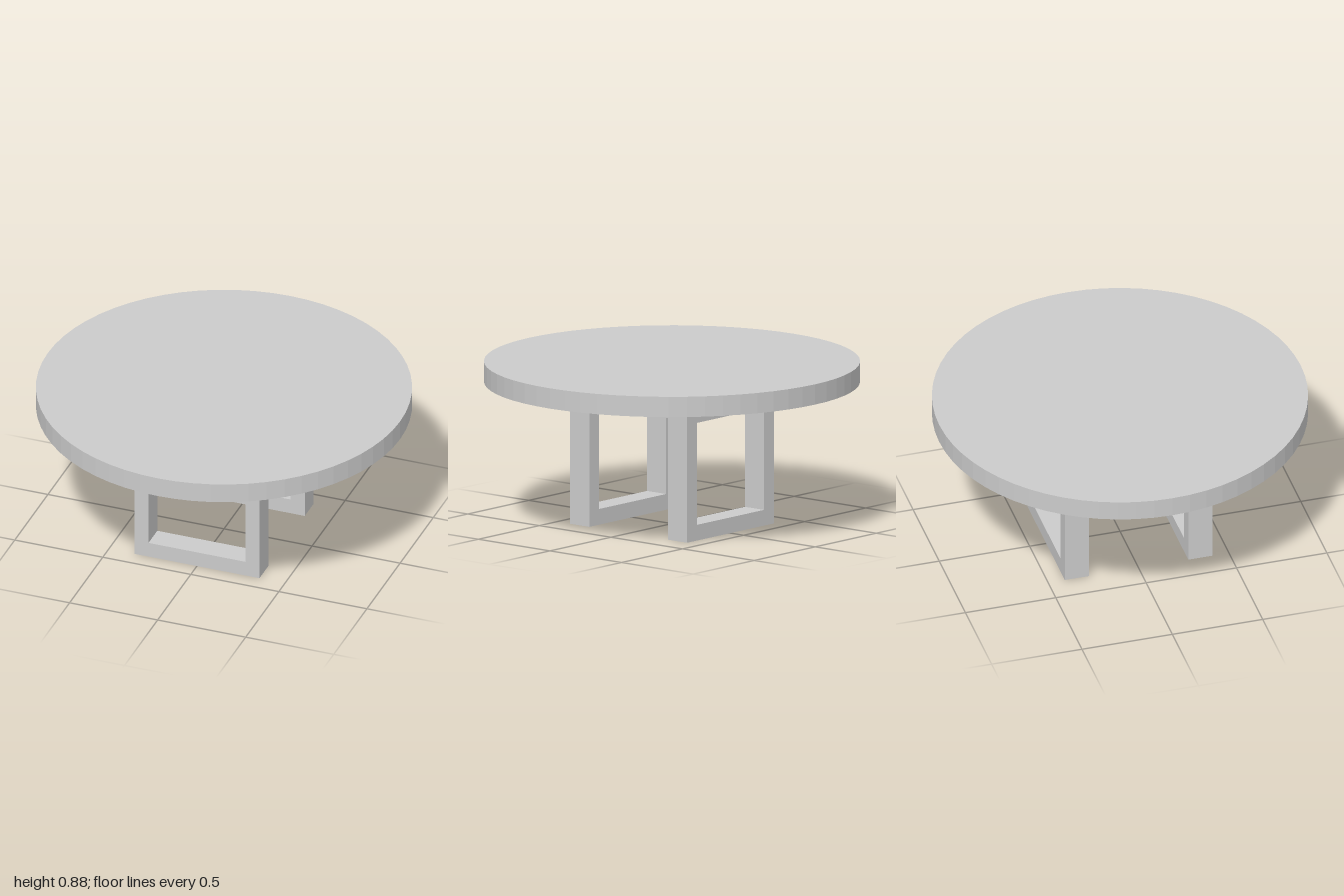
import * as THREE from 'three';

export function createModel() {
  const model = new THREE.Group();
  const material = new THREE.MeshStandardMaterial({ color: 0xcccccc, flatShading: true });

  const add = (name, geometry, x, y, z) => {
    const mesh = new THREE.Mesh(geometry, material);
    mesh.name = name;
    mesh.position.set(x, y, z);
    model.add(mesh);
  };

  const topBase = 0.77, topThickness = 0.11;
  const outer = 0.355, inner = 0.275; // half widths of the leg frames
  const openingBottom = 0.085, openingTop = 0.637;
  const frameNear = 0.275, frameDepth = 0.133;

  // Round table top
  add('tableTop', new THREE.CylinderGeometry(1, 1, topThickness, 64), 0, topBase + topThickness / 2, 0);

  // Upright frame with a square opening, used at front and back
  const frame = new THREE.Shape([
    new THREE.Vector2(-outer, 0), new THREE.Vector2(outer, 0),
    new THREE.Vector2(outer, topBase), new THREE.Vector2(-outer, topBase),
  ]);
  frame.holes.push(new THREE.Path([
    new THREE.Vector2(-inner, openingBottom), new THREE.Vector2(-inner, openingTop),
    new THREE.Vector2(inner, openingTop), new THREE.Vector2(inner, openingBottom),
  ]));
  const frameGeometry = new THREE.ExtrudeGeometry(frame, { depth: frameDepth, bevelEnabled: false });
  add('frontLegFrame', frameGeometry, 0, 0, frameNear);
  add('backLegFrame', frameGeometry, 0, 0, -frameNear - frameDepth);

  // Solid block under the top, joining the two frames
  const blockHeight = topBase - openingTop;
  add('connectingBlock', new THREE.BoxGeometry(inner * 2, blockHeight, frameNear * 2),
    0, openingTop + blockHeight / 2, 0);

  return model;
}
